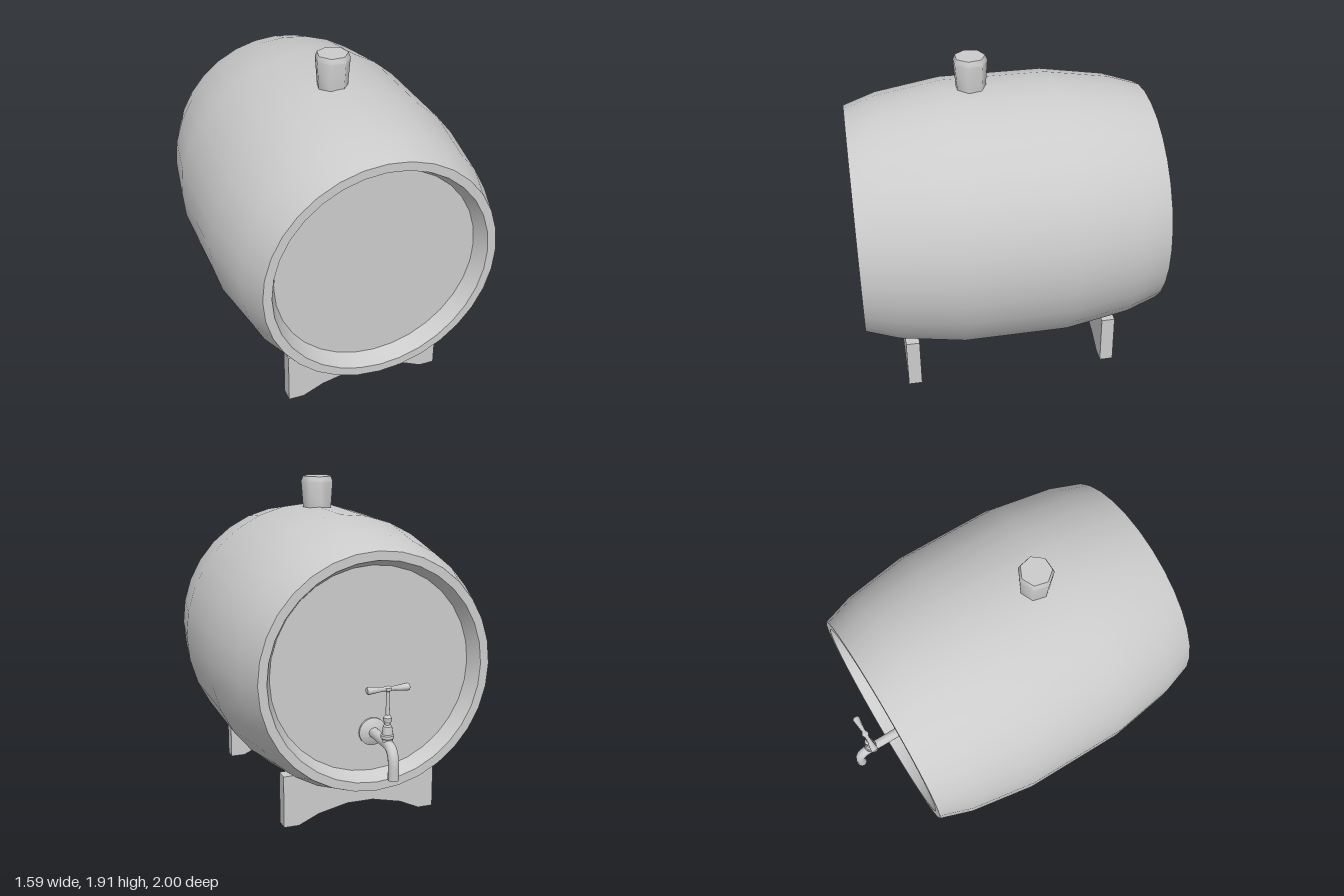
import * as THREE from 'three';
import { toCreasedNormals } from 'three/addons/utils/BufferGeometryUtils.js';

const material = new THREE.MeshStandardMaterial({ color: 0xcccccc });

function part(name, geometry, parent) {
  const mesh = new THREE.Mesh(geometry, material);
  mesh.name = name;
  parent.add(mesh);
  return mesh;
}

// Turned solid around y from [radius, height] pairs listed bottom to top
function turned(profile, sides, crease = 0.6) {
  const points = profile.map(([r, h]) => new THREE.Vector2(r, h));
  return toCreasedNormals(new THREE.LatheGeometry(points, sides), crease);
}

function createBarrel(parent) {
  // Half profile from the recessed head over the lip to the belly
  const half = [[0, 0.785], [0.585, 0.785], [0.625, 0.875], [0.675, 0.875], [0.738, 0.685], [0.797, 0.305]];
  const profile = [
    ...half.map(([r, h]) => [r, -h]),
    ...half.slice().reverse(),
  ];
  const barrel = part('barrel', turned(profile, 32), parent);
  barrel.rotation.x = Math.PI / 2;
  barrel.position.set(0, 0.935, 0.125);
}

function createBung(parent) {
  const profile = [[0, 1.68], [0.085, 1.68], [0.1, 1.885], [0.088, 1.915], [0, 1.915]];
  const bung = part('bung', turned(profile, 7, 0.95), parent);
  bung.rotation.y = Math.PI;
  bung.position.set(-0.015, 0, 0.28);
}

function createCradles(parent) {
  // Arched foot below, round seat for the barrel above
  const shape = new THREE.Shape();
  shape.moveTo(-0.465, 0);
  [[-0.375, 0], [-0.255, 0.055], [-0.08, 0.095], [0.08, 0.095], [0.255, 0.055],
    [0.375, 0], [0.465, 0], [0.465, 0.31]].forEach(([x, y]) => shape.lineTo(x, y));
  const a = Math.acos(0.625 / 0.72);
  shape.absarc(0, 0.935, 0.72, -Math.PI / 2 + a, -Math.PI / 2 - a, true);
  shape.lineTo(-0.465, 0.31);
  shape.closePath();
  const geometry = new THREE.ExtrudeGeometry(shape, { depth: 0.08, bevelEnabled: false, curveSegments: 12 });
  geometry.translate(0, 0, -0.04);
  part('frontCradle', geometry, parent).position.z = 0.733;
  part('backCradle', geometry, parent).position.z = -0.465;
}

function createTap(parent) {
  const tap = new THREE.Group();
  tap.name = 'tap';
  tap.position.x = -0.007;
  parent.add(tap);

  // Wall flange, domed toward the back
  const flange = part('tapFlange', turned([[0, 0], [0.08, 0], [0.08, 0.012], [0.055, 0.026], [0.03, 0.032]], 20), tap);
  flange.rotation.x = -Math.PI / 2;
  flange.position.set(0, 0.58, -0.66);

  // Pipe and spout
  const v = (y, z) => new THREE.Vector3(0, y, z);
  const path = new THREE.CurvePath();
  path.add(new THREE.LineCurve3(v(0.58, -0.65), v(0.58, -0.88)));
  path.add(new THREE.QuadraticBezierCurve3(v(0.58, -0.88), v(0.58, -0.965), v(0.48, -0.965)));
  path.add(new THREE.LineCurve3(v(0.48, -0.965), v(0.405, -0.965)));
  part('spoutPipe', new THREE.TubeGeometry(path, 36, 0.03, 12), tap);
  const end = part('spoutEnd', new THREE.CircleGeometry(0.03, 12), tap);
  end.rotation.x = Math.PI / 2;
  end.position.set(0, 0.405, -0.965);

  // Valve body, collars, stem and top knob
  const valve = [[0.03, 0.58], [0.03, 0.61], [0.037, 0.615], [0.037, 0.632], [0.031, 0.638], [0.025, 0.682],
    [0.016, 0.69], [0.016, 0.7], [0.024, 0.712], [0.024, 0.73], [0.011, 0.745], [0.011, 0.875],
    [0.02, 0.882], [0.02, 0.898], [0, 0.908]];
  part('valve', turned(valve, 14), tap).position.z = -0.877;

  // Flared crossbar
  const bar = [[0, -0.122], [0.017, -0.122], [0.022, -0.112], [0.012, -0.03], [0.015, 0],
    [0.012, 0.03], [0.022, 0.112], [0.017, 0.122], [0, 0.122]];
  const handle = part('tapHandle', turned(bar, 12), tap);
  handle.rotation.z = Math.PI / 2;
  handle.position.set(0, 0.89, -0.877);
}

export function createModel() {
  const model = new THREE.Group();
  model.name = 'barrelOnCradles';
  createBarrel(model);
  createBung(model);
  createCradles(model);
  createTap(model);
  return model;
}
